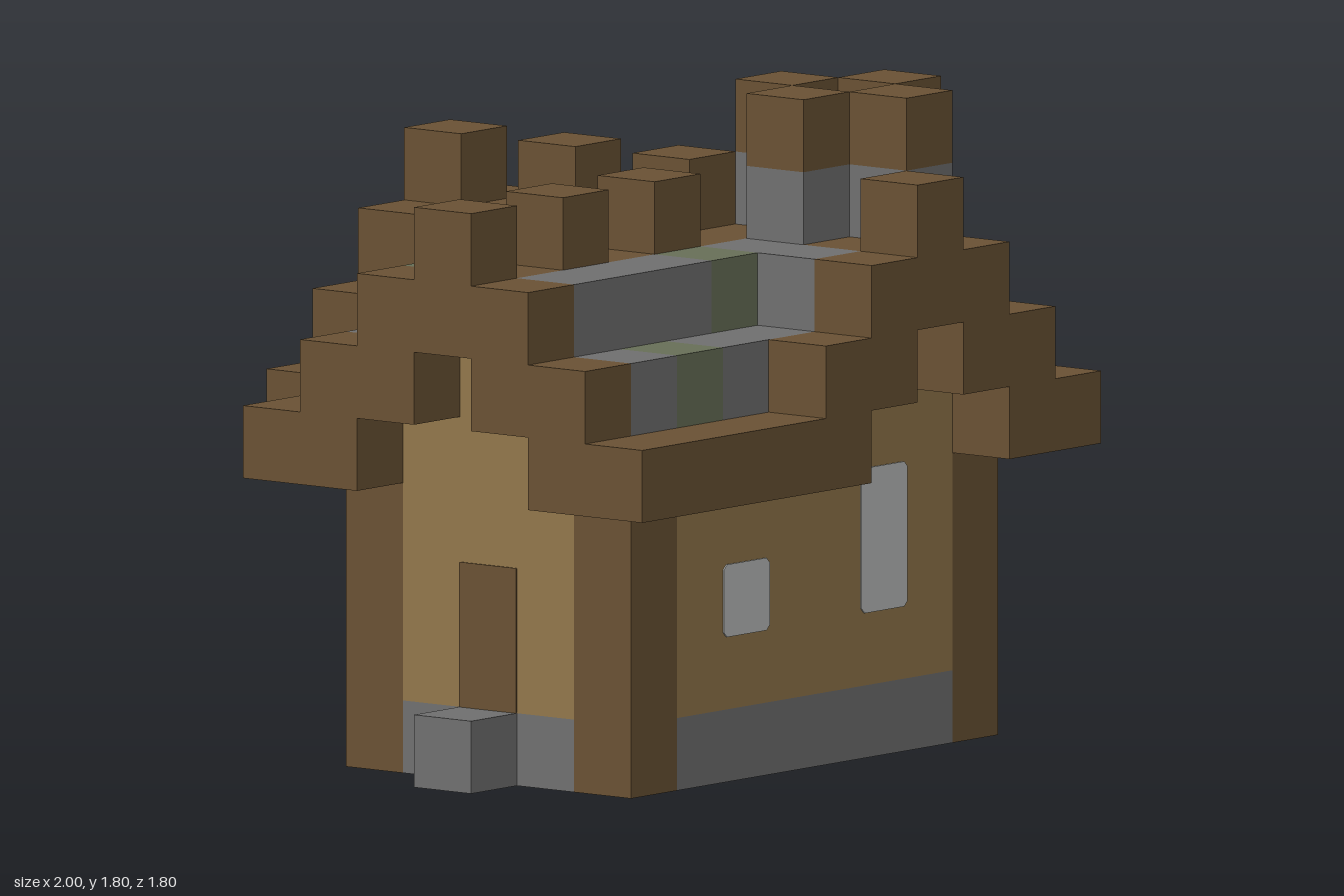
import * as THREE from 'three';
import { mergeGeometries } from 'three/addons/utils/BufferGeometryUtils.js';

const S = 0.2;               // block size
const NX = 10, NY = 9, NZ = 9; // blocks across, up, deep

const mat = (name, color) => {
  const m = new THREE.MeshStandardMaterial({ color });
  m.name = name;
  return m;
};

export function createModel() {
  const timber = mat('dark timber', 0x6a5234);
  const stone = mat('grey stone', 0x707070);
  const moss = mat('mossy stone', 0x687058);
  const plaster = mat('tan plaster', 0x92774b);
  const glass = mat('pale glass', 0xbcbebd);
  const ember = mat('orange ember', 0xc47420);

  const group = new THREE.Group();
  group.name = 'cottage';

  // Block grid: each cell remembers the part it belongs to
  const cells = new Map();
  const key = (i, j, k) => `${i},${j},${k}`;
  const fill = (part, i, k, j0, j1 = j0) => {
    for (let j = j0; j <= j1; j++) cells.set(key(i, j, k), part);
  };

  // L-shaped body: stone footing below plaster walls, timber at the corners
  const inBody = (i, k) => i >= 1 && i <= 8 && k <= 7 && k >= (i >= 4 ? 1 : 3);
  const corners = new Set(['1,7', '8,7', '8,1', '4,1', '1,3']);

  // Roof: two crossing stepped gables; the nearer ridge decides the height
  const ridgeDistance = (i, k) => {
    const a = i <= 6 && k >= 2 ? Math.abs(k - 5) : Infinity;
    const b = i >= 3 ? Math.abs(i - 6) : Infinity;
    return Math.min(a, b);
  };
  const mossy = new Set(['4,1', '7,1', '5,2', '8,2', '3,3', '1,4', '5,4', '7,4', '4,6', '2,7', '8,7']);

  for (let i = 0; i < NX; i++) {
    for (let k = 0; k < NZ; k++) {
      const d = ridgeDistance(i, k);
      if (d > 3) continue;
      const base = Math.max(4, 6 - d);
      const top = Math.min(6, 7 - d);
      const id = `${i},${k}`;
      if (inBody(i, k)) {
        fill('walls', i, k, 1, base - 1);
        fill('footing', i, k, 0);
        if (corners.has(id)) fill('cornerPosts', i, k, 0, 3);
      }
      const edge = i === 0 || i === 9 || k === 0 || k === 8 || d === 3;
      const part = edge ? 'roofTrim' : d === 0 ? 'roofRidge' : mossy.has(id) ? 'mossyRoofTiles' : 'roofTiles';
      fill(part, i, k, base, top);
    }
  }

  // Short posts along both ridges
  for (const i of [0, 2, 4]) fill('ridgePosts', i, 5, 7);
  for (const k of [0, 2, 4, 8]) fill('ridgePosts', 6, k, 7);

  // Chimney: four shafts round a fire
  for (const [i, k] of [[7, 5], [6, 6], [8, 6], [7, 7]]) {
    fill('chimneyShafts', i, k, i === 8 ? 6 : 7, 7);
    fill('chimneyCaps', i, k, 8);
  }
  fill('chimneyFire', 7, 6, 7);

  // Doorstep on the right side
  fill('doorstep', 0, 5, 0);

  // Turn every exposed block side into a square of its part
  const sides = [
    [1, 0, 0, 0, Math.PI / 2], [-1, 0, 0, 0, -Math.PI / 2],
    [0, 1, 0, -Math.PI / 2, 0], [0, -1, 0, Math.PI / 2, 0],
    [0, 0, 1, 0, 0], [0, 0, -1, 0, Math.PI],
  ];
  const faces = {};
  for (const [id, part] of cells) {
    const [i, j, k] = id.split(',').map(Number);
    for (const [dx, dy, dz, rx, ry] of sides) {
      if (cells.has(key(i + dx, j + dy, k + dz))) continue;
      const g = new THREE.PlaneGeometry(S, S).rotateX(rx).rotateY(ry);
      g.translate(
        (i + 0.5 - NX / 2 + dx / 2) * S,
        (j + 0.5 + dy / 2) * S,
        (k + 0.5 - NZ / 2 + dz / 2) * S,
      );
      (faces[part] ??= []).push(g);
    }
  }
  const partMaterials = {
    footing: stone, walls: plaster, cornerPosts: timber,
    roofTrim: timber, roofRidge: timber, roofTiles: stone, mossyRoofTiles: moss,
    ridgePosts: timber, chimneyShafts: stone, chimneyCaps: timber, chimneyFire: ember,
    doorstep: stone,
  };
  for (const [name, list] of Object.entries(faces)) {
    const mesh = new THREE.Mesh(mergeGeometries(list), partMaterials[name]);
    mesh.name = name;
    group.add(mesh);
  }

  // Thin plates with clipped corners for windows and door
  const plate = (name, material, h, x, y, z, turn, clip = 0.014) => {
    const a = S / 2, b = h / 2, c = clip;
    const shape = new THREE.Shape([
      [-a + c, -b], [a - c, -b], [a, -b + c], [a, b - c],
      [a - c, b], [-a + c, b], [-a, b - c], [-a, -b + c],
    ].map(([u, v]) => new THREE.Vector2(u, v)));
    const geo = new THREE.ExtrudeGeometry(shape, { depth: 0.004, bevelEnabled: false });
    const mesh = new THREE.Mesh(geo, material);
    mesh.name = name;
    mesh.position.set(x, y, z);
    mesh.rotation.y = turn;
    group.add(mesh);
  };
  plate('frontSmallWindow', glass, 0.2, -0.3, 0.5, 0.7, 0);
  plate('frontTallWindow', glass, 0.4, 0.3, 0.6, 0.7, 0);
  plate('backWindow', glass, 0.4, 0.3, 0.6, -0.7, Math.PI);
  for (const z of [0.2, -0.2]) plate('sideWindow', glass, 0.4, 0.8, 0.6, z, Math.PI / 2);
  plate('door', timber, 0.4, -0.8, 0.4, 0.2, -Math.PI / 2, 0.002);

  return group;
}
